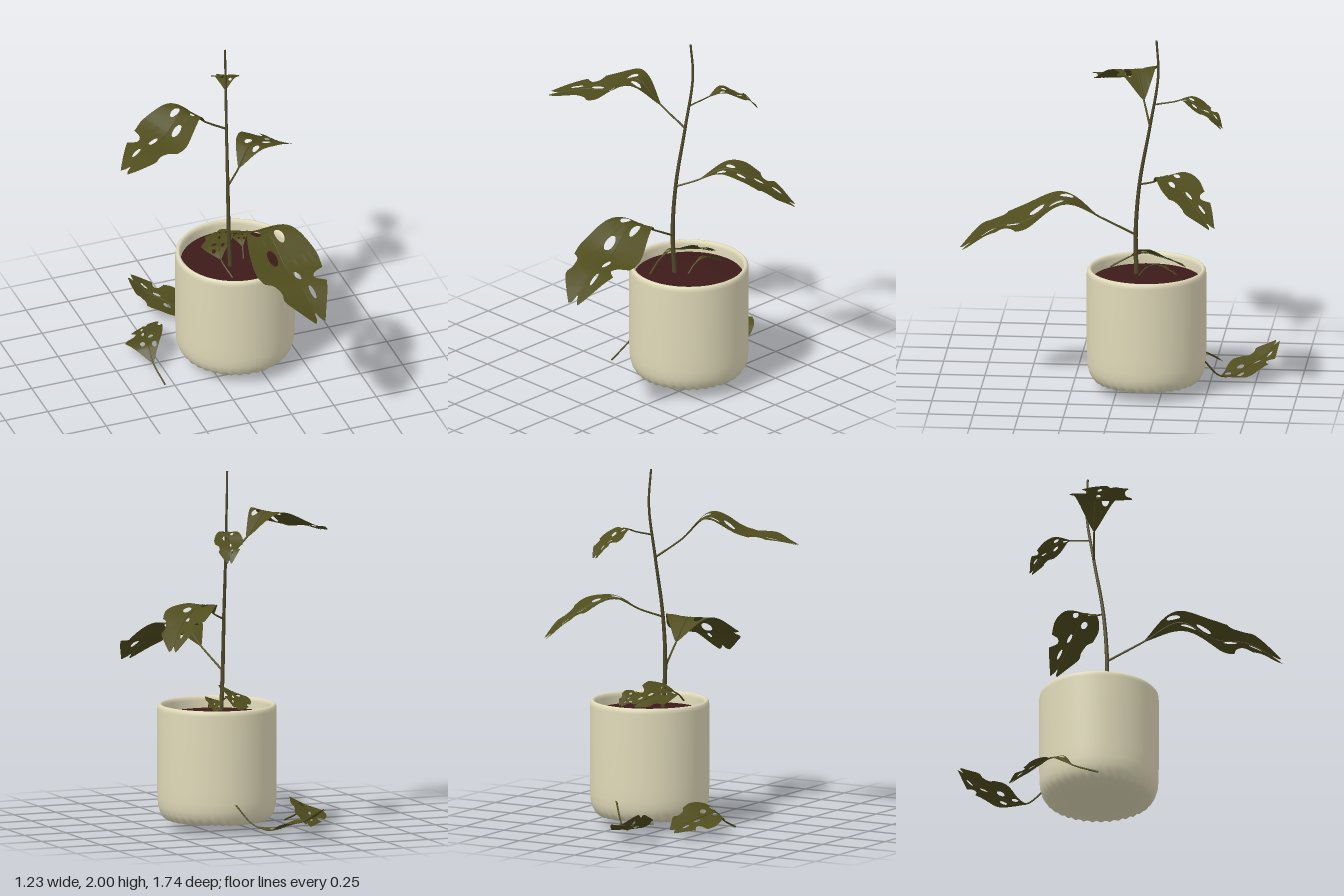
import * as THREE from 'three';
import { mergeVertices } from 'three/addons/utils/BufferGeometryUtils.js';

const V3 = (p) => new THREE.Vector3(...p);
const mat = (color, side = THREE.FrontSide) =>
  new THREE.MeshStandardMaterial({ color, side });
const LEAF = mat(0x4f4c1d, THREE.DoubleSide);
const STEM = mat(0x4f4829);
const POT = mat(0xe0dab9, THREE.DoubleSide);
const SOIL = mat(0x3c1b19);

function add(parent, name, geometry, material) {
  const mesh = new THREE.Mesh(geometry, material);
  mesh.name = name;
  parent.add(mesh);
}

// Round stalk along a curve, narrowing from r0 to r1
function taperedTube(points, r0, r1, seg = 32, radial = 8) {
  const curve = new THREE.CatmullRomCurve3(points);
  const geo = new THREE.TubeGeometry(curve, seg, r0, radial, false);
  const pos = geo.attributes.position;
  const v = new THREE.Vector3();
  for (let i = 0; i < pos.count; i++) {
    const t = Math.floor(i / (radial + 1)) / seg;
    const c = curve.getPointAt(t);
    v.fromBufferAttribute(pos, i).sub(c).multiplyScalar(1 + (r1 / r0 - 1) * t).add(c);
    pos.setXYZ(i, v.x, v.y, v.z);
  }
  geo.computeVertexNormals();
  return geo;
}

// Flat blade: x across (-1..1), y along (0..1), notched edge and oval holes
function bladeShape() {
  const pts = (a) => a.map(([x, y]) => new THREE.Vector2(x, y));
  const s = new THREE.Shape();
  s.moveTo(0, 0);
  s.splineThru(pts([[-0.15, 0.05], [-0.6, 0.22], [-0.87, 0.36], [-1, 0.48], [-0.92, 0.61]]));
  s.splineThru(pts([[-0.6, 0.64], [-0.5, 0.7], [-0.74, 0.76]]));
  s.splineThru(pts([[-0.52, 0.86], [-0.18, 1]]));
  s.splineThru(pts([[-0.08, 0.97], [0, 0.93], [0.04, 0.98], [0.12, 1]]));
  s.splineThru(pts([[0.4, 0.92], [0.7, 0.82], [0.66, 0.75], [0.74, 0.66], [0.94, 0.62]]));
  s.splineThru(pts([[1, 0.5], [0.86, 0.35], [0.55, 0.2], [0.15, 0.05], [0, 0]]));
  const holes = [[0.32, 0.22, 0.12, 0.045], [-0.24, 0.3, 0.12, 0.05], [0.26, 0.42, 0.14, 0.05],
    [-0.12, 0.61, 0.07, 0.055], [-0.2, 0.8, 0.06, 0.05]];
  for (const [x, y, rx, ry] of holes) {
    const h = new THREE.Path();
    h.absellipse(x, y, rx, ry, 0, Math.PI * 2, true, 0);
    s.holes.push(h);
  }
  return s;
}

// Halve the longest edges until the blade is fine enough to bend
function refine(geo, limit) {
  const flat = geo.toNonIndexed().attributes.position;
  const out = [];
  const split = (a, b, c) => {
    const d = [a.distanceTo(b), b.distanceTo(c), c.distanceTo(a)];
    const m = Math.max(...d);
    if (m < limit) { out.push(a, b, c); return; }
    if (d[1] === m) [a, b, c] = [b, c, a];
    else if (d[2] === m) [a, b, c] = [c, a, b];
    const mid = a.clone().add(b).multiplyScalar(0.5);
    split(a, mid, c);
    split(mid, b, c);
  };
  const at = (i) => new THREE.Vector3().fromBufferAttribute(flat, i);
  for (let i = 0; i < flat.count; i += 3) split(at(i), at(i + 1), at(i + 2));
  return mergeVertices(new THREE.BufferGeometry().setFromPoints(out), 1e-5);
}

const BLADE = refine(new THREE.ShapeGeometry(bladeShape(), 6), 0.12);

// Leaf: first point is the foot of the stalk, second the blade's base, last its tip
function makeLeaf(name, path, halfWidth, flip = 1, roll = 0) {
  const leaf = new THREE.Group();
  leaf.name = name;
  const pts = path.map(V3);
  const curve = new THREE.CatmullRomCurve3(pts);
  const t0 = 1 / (pts.length - 1);
  const along = pts.at(-1).clone().sub(pts[1]).setY(0).normalize();
  const side = along.clone().cross(new THREE.Vector3(0, 1, 0)).applyAxisAngle(along, roll);
  const geo = BLADE.clone();
  const pos = geo.attributes.position;
  for (let i = 0; i < pos.count; i++) {
    const v = pos.getX(i) * flip, u = pos.getY(i);
    const t = t0 + (1 - t0) * u;
    const p = curve.getPoint(t);
    const up = side.clone().cross(curve.getTangent(t)).normalize();
    const lift = halfWidth * (0.09 * Math.abs(v) + 0.05 * v * Math.sin(u * 14 + v));
    p.addScaledVector(side, v * halfWidth).addScaledVector(up, lift);
    pos.setXYZ(i, p.x, p.y, p.z);
  }
  geo.computeVertexNormals();
  add(leaf, 'blade', geo, LEAF);
  const r = 0.004 + halfWidth * 0.012;
  const steps = [0, 0.2, 0.4, 0.6, 0.8, 0.95].map((t) => curve.getPoint(t));
  add(leaf, 'stalkAndMidrib', taperedTube(steps, r, 0.0015, 28, 6), LEAF);
  return leaf;
}

export function createModel() {
  const plant = new THREE.Group();
  plant.name = 'pottedPlant';

  // Pot with a rounded rim and a finely fluted, slightly domed underside
  const pot = new THREE.Group();
  pot.name = 'pot';
  pot.position.set(0.165, 0, -0.16);
  plant.add(pot);
  const profile = [[0.001, 0.04], [0.12, 0.042], [0.22, 0.049], [0.28, 0.06], [0.298, 0.075],
    [0.315, 0.1], [0.325, 0.135], [0.329, 0.18], [0.33, 0.25], [0.33, 0.45], [0.33, 0.67],
    [0.328, 0.688], [0.32, 0.698], [0.312, 0.699], [0.304, 0.692], [0.3, 0.675], [0.3, 0.61]];
  const wall = new THREE.LatheGeometry(profile.map((p) => new THREE.Vector2(...p)), 144);
  const pos = wall.attributes.position;
  for (let i = 0; i < pos.count; i++) {
    const x = pos.getX(i), y = pos.getY(i), z = pos.getZ(i);
    const depth = 0.03 * Math.max(0, Math.hypot(x, z) - 0.12);
    if (y < 0.09) pos.setY(i, y + depth * Math.cos(36 * Math.atan2(x, z)));
  }
  wall.computeVertexNormals();
  add(pot, 'potWall', wall, POT);

  // Soil, gently mounded
  const soil = new THREE.LatheGeometry(
    [[0.302, 0.632], [0.2, 0.643], [0.1, 0.648], [0, 0.65]].map((p) => new THREE.Vector2(...p)), 48);
  add(pot, 'soil', soil, SOIL);

  // Main stem
  const stem = [[0.115, 0.62, -0.1], [0.103, 0.9, -0.095], [0.106, 1.18, -0.118],
    [0.12, 1.5, -0.175], [0.133, 1.8, -0.222], [0.125, 2, -0.212]].map(V3);
  add(plant, 'stem', taperedTube(stem, 0.013, 0.006, 48), STEM);

  // Leaves growing from the stem
  plant.add(
    makeLeaf('frontLeaf', [[0.105, 0.87, -0.095], [0.15, 0.98, 0.1], [0.185, 1.088, 0.3],
      [0.22, 0.97, 0.5], [0.25, 0.938, 0.67], [0.28, 0.815, 0.86]], 0.2),
    makeLeaf('rightLeaf', [[0.12, 1.5, -0.175], [-0.02, 1.605, -0.13], [-0.165, 1.738, -0.075],
      [-0.31, 1.65, -0.005], [-0.45, 1.63, 0.065], [-0.605, 1.58, 0.16]], 0.175, -1),
    makeLeaf('leftLeaf', [[0.105, 1.16, -0.115], [0.2, 1.205, -0.2], [0.31, 1.275, -0.3],
      [0.42, 1.235, -0.37], [0.51, 1.165, -0.455], [0.6, 1.06, -0.555]], 0.135),
    makeLeaf('topLeaf', [[0.128, 1.63, -0.2], [0.165, 1.66, -0.31], [0.195, 1.685, -0.39],
      [0.22, 1.64, -0.46], [0.245, 1.61, -0.53], [0.27, 1.54, -0.585]], 0.08));

  // Fallen leaves on the floor and on the soil
  plant.add(
    makeLeaf('fallenBackLeaf', [[0.19, 0.18, -0.48], [0.11, 0.07, -0.56], [0.03, 0.05, -0.635],
      [-0.05, 0.085, -0.71], [-0.125, 0.115, -0.785], [-0.2, 0.185, -0.855]], 0.12, -1),
    makeLeaf('fallenSideLeaf', [[-0.3, 0.006, -0.02], [-0.315, 0.06, -0.16], [-0.31, 0.125, -0.26],
      [-0.29, 0.11, -0.36], [-0.25, 0.085, -0.46], [-0.21, 0.05, -0.555]], 0.115, 1, -0.45),
    makeLeaf('soilLeaf', [[0.07, 0.67, 0.05], [0.045, 0.725, -0.06], [0.06, 0.755, -0.13],
      [0.085, 0.745, -0.21], [0.11, 0.725, -0.3], [0.14, 0.695, -0.38]], 0.1, -1, -0.45),
    makeLeaf('smallSoilLeaf', [[0.2, 0.66, -0.12], [0.21, 0.71, -0.16], [0.22, 0.735, -0.21],
      [0.23, 0.725, -0.26], [0.24, 0.705, -0.3], [0.25, 0.68, -0.34]], 0.05, 1, -0.35));
  return plant;
}
